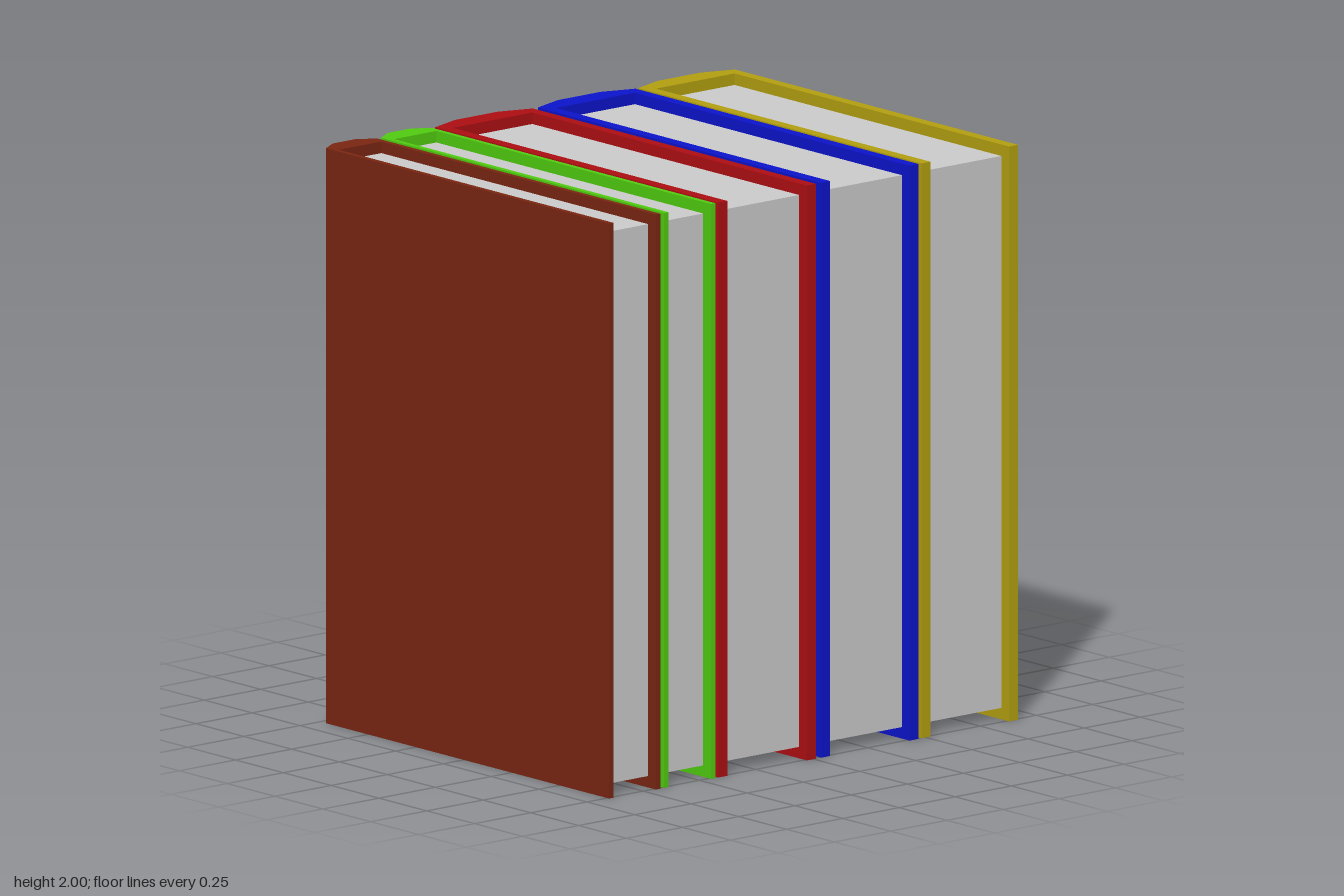
import * as THREE from 'three';

const HEIGHT = 2;
const SPINE_X = -0.76, HINGE_X = -0.72, PAGE_BACK = -0.675, PAGE_FRONT = 0.72, COVER_FRONT = 0.76;

// One book: back and front z, board thickness, cover colour
const BOOKS = [
  { name: 'brownBook', back: 0.682, front: 0.91, board: 0.02, color: 0x7a2612 },
  { name: 'greenBook', back: 0.437, front: 0.665, board: 0.02, color: 0x50cc10 },
  { name: 'redBook', back: -0.01, front: 0.424, board: 0.04, color: 0xae0e12 },
  { name: 'blueBook', back: -0.467, front: -0.034, board: 0.04, color: 0x0c14cc },
  { name: 'yellowBook', back: -0.91, front: -0.48, board: 0.04, color: 0xb4a010 },
];

const pageMaterial = new THREE.MeshStandardMaterial({ color: 0xcccccc, flatShading: true });

// U-shaped case with a faceted spine, drawn in plan and extruded upward
function coverGeometry(depth, board) {
  const h = depth / 2, inner = h - board, flat = depth * 0.22;
  const plan = new THREE.Shape([
    [COVER_FRONT, -h], [COVER_FRONT, -inner], [PAGE_BACK, -inner],
    [PAGE_BACK, inner], [COVER_FRONT, inner], [COVER_FRONT, h],
    [HINGE_X, h], [SPINE_X, flat], [SPINE_X, -flat], [HINGE_X, -h],
  ].map(([x, y]) => new THREE.Vector2(x, y)));
  return new THREE.ExtrudeGeometry(plan, { depth: HEIGHT, bevelEnabled: false }).rotateX(-Math.PI / 2);
}

function makeBook({ name, back, front, board, color }) {
  const book = new THREE.Group();
  book.name = name;
  const depth = front - back;

  const cover = new THREE.Mesh(
    coverGeometry(depth, board),
    new THREE.MeshStandardMaterial({ color, flatShading: true }),
  );
  cover.name = 'cover';

  // Page block, set in from the cover at top, bottom and fore edge
  const pages = new THREE.Mesh(
    new THREE.BoxGeometry(PAGE_FRONT - PAGE_BACK, HEIGHT - 0.08, depth - 2 * board),
    pageMaterial,
  );
  pages.name = 'pages';
  pages.position.set((PAGE_FRONT + PAGE_BACK) / 2, HEIGHT / 2, 0);

  book.add(cover, pages);
  book.position.z = (front + back) / 2;
  return book;
}

export function createModel() {
  const model = new THREE.Group();
  model.name = 'rowOfBooks';
  BOOKS.forEach((spec) => model.add(makeBook(spec)));
  return model;
}
